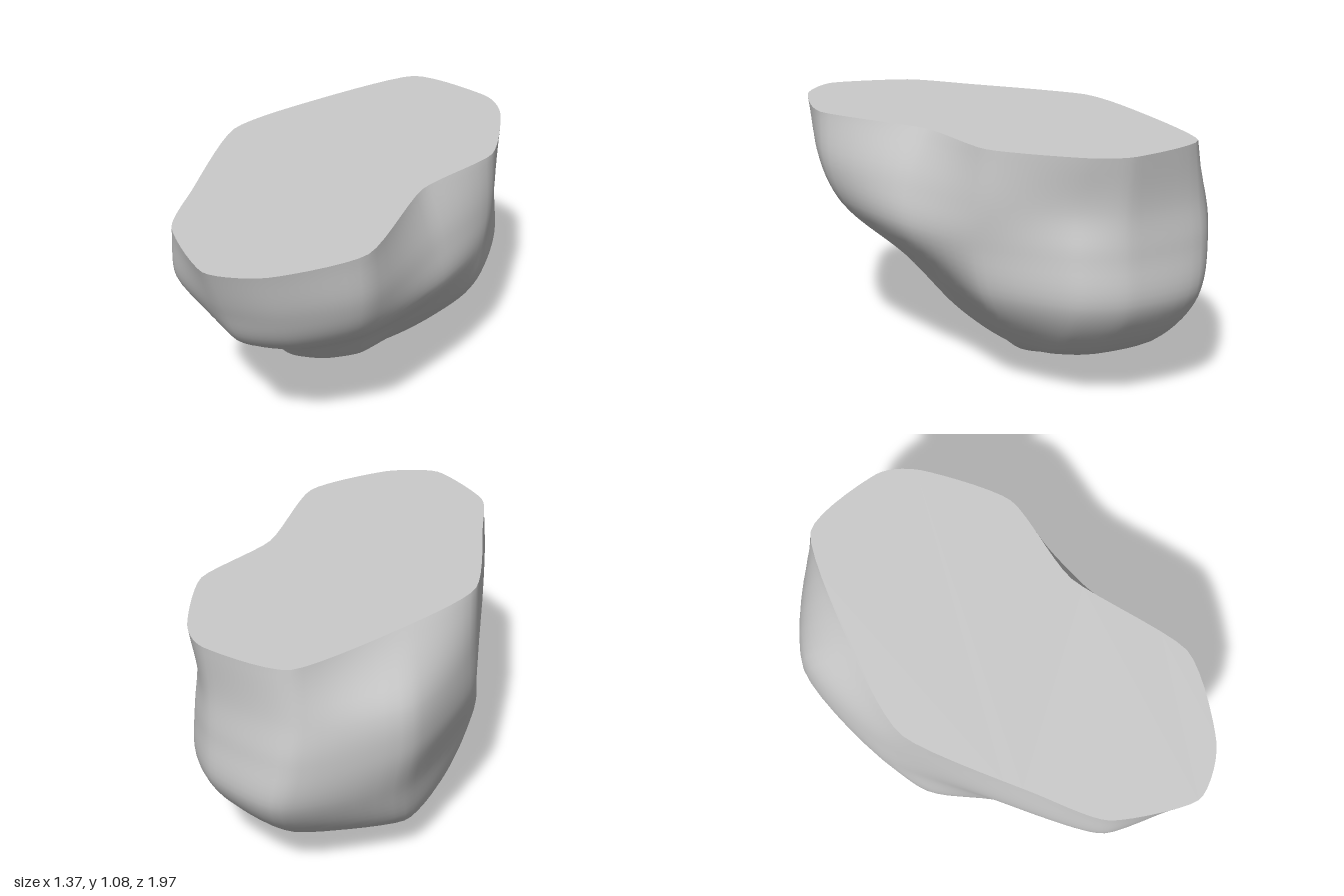
import * as THREE from 'three';

const AROUND = 84, UP = 49;
const tip = new THREE.Vector3(-0.15, 0, -0.2);

// Cross-section at a height: 12 (x, z) corners running from the front
// round the left side, the back and the right side.
const section = (y, c) =>
  Array.from({ length: c.length / 2 }, (_, i) => new THREE.Vector3(c[2 * i], y, c[2 * i + 1]));

const base = section(0.2, [.04, .26, .15, .18, .22, .04, .22, -.2, .23, -.45, .14, -.66,
  0, -.76, -.28, -.76, -.57, -.4, -.49, -.03, -.3, .13, -.1, .22]);

// Underside: the base section shrinks to a short keel that runs along x
const shrink = (y, sx, sz) => base.map(p => new THREE.Vector3(
  tip.x + (p.x - tip.x) * sx, y, tip.z + (p.z - tip.z) * sz));

const sections = [
  shrink(0, 0.12, 0.01),
  shrink(0.035, 0.4, 0.17),
  shrink(0.09, 0.68, 0.4),
  base,
  section(0.43, [.14, .49, .29, .42, .39, .2, .41, -.12, .41, -.5, .21, -.84,
    0, -.96, -.36, -.94, -.63, -.48, -.5, .16, -.27, .36, -.02, .46]),
  section(0.66, [.3, .8, .48, .67, .61, .37, .57, -.12, .46, -.5, .21, -.84,
    0, -.96, -.4, -.93, -.68, -.5, -.59, .04, -.26, .47, 0, .7]),
  section(0.85, [.33, .9, .53, .76, .68, .41, .55, -.1, .45, -.54, .19, -.83,
    0, -.95, -.4, -.9, -.66, -.48, -.58, .04, -.2, .63, 0, .86]),
  section(1.08, [.35, .99, .55, .83, .68, .43, .45, -.1, .43, -.55, .18, -.88,
    0, -.97, -.38, -.88, -.5, -.34, -.52, .12, -.19, .62, 0, .87]),
];

// Softly cornered closed outline through each section
const outlines = sections.map((pts) => {
  const curve = new THREE.CatmullRomCurve3(pts, true, 'catmullrom', 0.32);
  return Array.from({ length: AROUND }, (_, i) => curve.getPoint(i / AROUND));
});

// Skin: vertical ribs through the outlines, joined side by side
function bodyGeometry() {
  const pos = [], index = [];
  for (let i = 0; i < AROUND; i++) {
    const rib = new THREE.CatmullRomCurve3(outlines.map(o => o[i]));
    for (let j = 0; j <= UP; j++) {
      const p = rib.getPoint(j / UP);
      pos.push(p.x, Math.max(0, p.y), p.z);
    }
  }
  for (let i = 0; i < AROUND; i++) {
    for (let j = 0; j < UP; j++) {
      const a = i * (UP + 1) + j, b = ((i + 1) % AROUND) * (UP + 1) + j;
      index.push(a, b, b + 1, a, b + 1, a + 1);
    }
  }
  const g = new THREE.BufferGeometry();
  g.setAttribute('position', new THREE.Float32BufferAttribute(pos, 3));
  g.setIndex(index);
  g.computeVertexNormals();
  return g;
}

// Flat top cut, drawn in x / -z and laid down
function topGeometry() {
  const rim = outlines[outlines.length - 1];
  const shape = new THREE.Shape(rim.map(p => new THREE.Vector2(p.x, -p.z)));
  return new THREE.ShapeGeometry(shape).rotateX(-Math.PI / 2).translate(0, rim[0].y, 0);
}

export function createModel() {
  const group = new THREE.Group();
  group.name = 'rock';
  const material = new THREE.MeshStandardMaterial({ color: 0xcccccc });
  const add = (name, geometry) => {
    const mesh = new THREE.Mesh(geometry, material);
    mesh.name = name;
    group.add(mesh);
  };
  add('rockBody', bodyGeometry());
  add('flatTop', topGeometry());
  return group;
}
